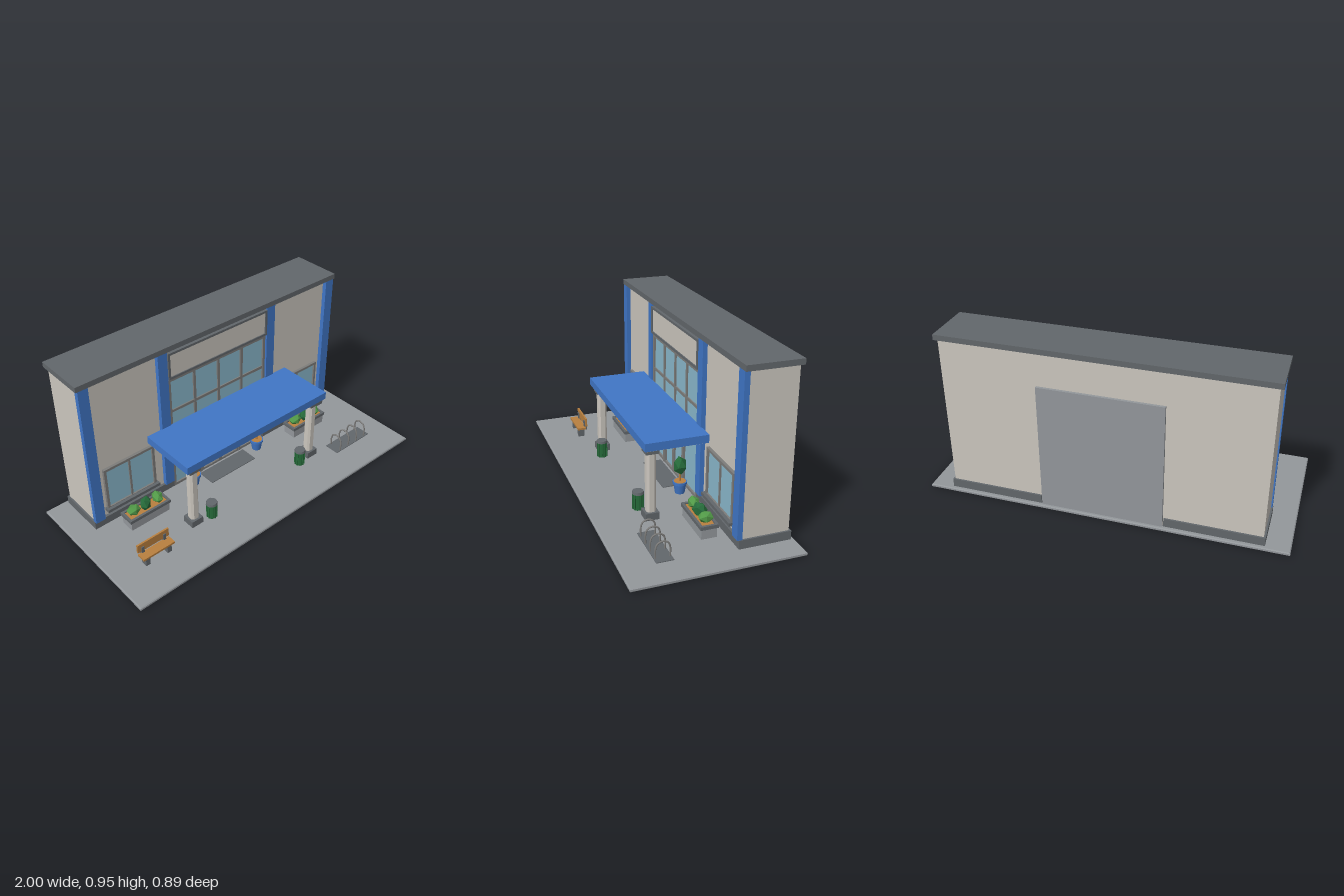
import * as THREE from 'three';

export function createModel() {
  const root = new THREE.Group();
  root.name = 'storefrontBuilding';
  const mat = (name, color) => {
    const m = new THREE.MeshStandardMaterial({ color });
    m.name = name;
    return m;
  };
  const blue = mat('blue', 0x4076c6);
  const plaster = mat('plaster', 0xcbc6be);
  const darkGrey = mat('darkGrey', 0x62676b);
  const concrete = mat('concrete', 0x93979b);
  const frameGrey = mat('frameGrey', 0x7d7c7a);
  const glass = mat('glass', 0x8ab8cc);
  const darkGreen = mat('darkGreen', 0x266b3a);
  const lightGreen = mat('lightGreen', 0x529a48);
  const wood = mat('wood', 0xb9803f);

  const add = (parent, name, geo, material, x = 0, y = 0, z = 0) => {
    const m = new THREE.Mesh(geo, material);
    m.name = name;
    m.position.set(x, y, z);
    parent.add(m);
    return m;
  };
  // Box given by its limits on each axis
  const box = (parent, name, material, x0, x1, y0, y1, z0, z1) =>
    add(parent, name, new THREE.BoxGeometry(x1 - x0, y1 - y0, z1 - z0), material,
      (x0 + x1) / 2, (y0 + y1) / 2, (z0 + z1) / 2);
  const group = (name, x = 0, y = 0, z = 0) => {
    const g = new THREE.Group();
    g.name = name;
    g.position.set(x, y, z);
    root.add(g);
    return g;
  };
  const flat = (geo) => {
    const g = geo.index ? geo.toNonIndexed() : geo;
    g.computeVertexNormals();
    return g;
  };
  // Rectangular frame around an opening
  const frame = (parent, name, material, x0, x1, y0, y1, z0, z1, t) => {
    box(parent, name + 'Left', material, x0, x0 + t, y0, y1, z0, z1);
    box(parent, name + 'Right', material, x1 - t, x1, y0, y1, z0, z1);
    box(parent, name + 'Top', material, x0 + t, x1 - t, y1 - t, y1, z0, z1);
    box(parent, name + 'Bottom', material, x0 + t, x1 - t, y0, y0 + t, z0, z1);
  };

  // Ground slab with softened rim
  const outline = new THREE.Shape();
  outline.moveTo(-0.995, -0.44).lineTo(0.995, -0.44).lineTo(0.995, 0.44).lineTo(-0.995, 0.44).closePath();
  const slab = new THREE.ExtrudeGeometry(outline, {
    depth: 0.01, bevelThickness: 0.005, bevelSize: 0.005, bevelSegments: 1,
  });
  slab.rotateX(-Math.PI / 2);
  add(root, 'groundSlab', slab, concrete, 0, 0.005, 0);

  // Building shell
  const shell = group('buildingShell');
  box(shell, 'walls', plaster, -0.86, 0.86, 0.02, 0.925, -0.415, -0.16);
  box(shell, 'roof', darkGrey, -0.877, 0.877, 0.925, 0.955, -0.43, -0.135);
  box(shell, 'rearPanel', concrete, -0.335, 0.335, 0.02, 0.74, -0.43, -0.41);
  for (const s of [-1, 1]) {
    const a = Math.min(s * 0.34, s * 0.87), b = Math.max(s * 0.34, s * 0.87);
    box(shell, 'plinth', darkGrey, a, b, 0.02, 0.068, -0.425, -0.145);
    for (const x of [0.374, 0.838]) {
      box(shell, 'pilaster', blue, s * x - 0.029, s * x + 0.029, 0.068, 0.925, -0.163, -0.135);
    }
  }

  // Side windows
  for (const s of [-1, 1]) {
    const w = group('sideWindow', s * 0.62);
    box(w, 'windowGlass', glass, -0.155, 0.155, 0.115, 0.375, -0.161, -0.154);
    frame(w, 'windowFrame', frameGrey, -0.16, 0.16, 0.11, 0.382, -0.161, -0.144, 0.015);
    box(w, 'windowMullion', frameGrey, -0.006, 0.006, 0.12, 0.37, -0.161, -0.147);
    box(w, 'windowSill', darkGrey, -0.17, 0.17, 0.104, 0.122, -0.161, -0.126);
  }

  // Central glazed front
  const front = group('entranceGlazing');
  box(front, 'entranceGlass', glass, -0.335, 0.335, 0.02, 0.74, -0.161, -0.154);
  frame(front, 'glazingFrame', frameGrey, -0.342, 0.342, 0.02, 0.75, -0.161, -0.144, 0.016);
  for (const x of [-0.167, 0, 0.167]) {
    box(front, 'glazingMullion', frameGrey, x - 0.008, x + 0.008, 0.345, 0.74, -0.161, -0.146);
  }
  box(front, 'glazingTransom', frameGrey, -0.335, 0.335, 0.533, 0.549, -0.161, -0.147);
  box(front, 'doorHeader', frameGrey, -0.305, 0.305, 0.335, 0.36, -0.161, -0.13);
  box(front, 'doorSensor', darkGrey, -0.027, 0.027, 0.338, 0.354, -0.135, -0.125);
  for (const x of [-0.069, 0.069]) {
    frame(front, 'doorLeaf', frameGrey, x - 0.069, x + 0.069, 0.022, 0.325, -0.161, -0.142, 0.012);
  }
  for (const x of [-0.146, 0.146]) {
    box(front, 'doorJamb', frameGrey, x - 0.008, x + 0.008, 0.02, 0.34, -0.161, -0.14);
  }
  box(front, 'blankPanel', plaster, -0.33, 0.33, 0.765, 0.905, -0.161, -0.137);
  frame(front, 'blankPanelFrame', darkGrey, -0.342, 0.342, 0.757, 0.915, -0.161, -0.131, 0.013);
  box(root, 'doorMat', darkGrey, -0.165, 0.165, 0.019, 0.024, -0.13, -0.02);

  // Canopy and its chamfered columns
  const canopy = group('canopy');
  box(canopy, 'canopyRoof', blue, -0.5, 0.5, 0.422, 0.466, -0.14, 0.2);
  box(canopy, 'canopySoffit', plaster, -0.485, 0.485, 0.414, 0.423, -0.14, 0.185);
  const r = 0.025, c = 0.014;
  const section = new THREE.Shape([[r, -c], [r, c], [c, r], [-c, r], [-r, c], [-r, -c], [-c, -r], [c, -r]]
    .map(([x, y]) => new THREE.Vector2(x, y)));
  for (const s of [-1, 1]) {
    const col = group('canopyColumn', s * 0.437, 0, 0.15);
    const shaft = new THREE.ExtrudeGeometry(section, { depth: 0.335, bevelEnabled: false });
    shaft.rotateX(-Math.PI / 2);
    add(col, 'columnShaft', shaft, plaster, 0, 0.058, 0);
    box(col, 'columnBase', darkGrey, -0.037, 0.037, 0.02, 0.06, -0.037, 0.037);
    box(col, 'columnCap', darkGrey, -0.035, 0.035, 0.39, 0.415, -0.035, 0.035);
  }

  // Planters with faceted bushes
  for (const s of [-1, 1]) {
    const p = group('planter', s * 0.604, 0, -0.052);
    box(p, 'planterBox', concrete, -0.125, 0.125, 0.02, 0.078, -0.042, 0.042);
    box(p, 'planterSoil', wood, -0.12, 0.12, 0.076, 0.086, -0.037, 0.037);
    for (const k of [-1, 1]) {
      box(p, 'planterRimLong', darkGrey, -0.132, 0.132, 0.074, 0.093, k * 0.041 - 0.007, k * 0.041 + 0.007);
      box(p, 'planterRimEnd', darkGrey, k * 0.125 - 0.007, k * 0.125 + 0.007, 0.074, 0.093, -0.036, 0.036);
    }
    [-0.078, 0, 0.078].forEach((x, i) => {
      const bush = add(p, 'bush', flat(new THREE.IcosahedronGeometry(0.038, 0)),
        i === 1 ? darkGreen : lightGreen, x, 0.115, 0);
      bush.scale.set(1.12, i === 1 ? 1.08 : 0.85, 0.85);
      bush.rotation.y = i * 0.7;
    });
  }

  // Potted topiary trees
  for (const s of [-1, 1]) {
    const t = group('topiary', s * 0.24, 0, -0.09);
    add(t, 'pot', new THREE.CylinderGeometry(0.036, 0.027, 0.058, 12), blue, 0, 0.049, 0);
    add(t, 'potRim', new THREE.CylinderGeometry(0.04, 0.04, 0.014, 12), blue, 0, 0.082, 0);
    add(t, 'potSoil', new THREE.CylinderGeometry(0.034, 0.034, 0.004, 12), wood, 0, 0.089, 0);
    add(t, 'trunk', new THREE.CylinderGeometry(0.005, 0.006, 0.06, 8), wood, 0, 0.115, 0);
    const crown = add(t, 'crown', flat(new THREE.IcosahedronGeometry(0.042, 0)), darkGreen, 0, 0.182, 0);
    crown.scale.set(0.95, 1.28, 0.95);
  }

  // Litter bins with ribs
  for (const s of [-1, 1]) {
    const b = group('litterBin', s * 0.335, 0, 0.182);
    add(b, 'binBody', new THREE.CylinderGeometry(0.028, 0.025, 0.095, 12), darkGreen, 0, 0.0675, 0);
    for (let i = 0; i < 10; i++) {
      const a = i * Math.PI / 5;
      const rib = box(b, 'binRib', darkGreen, -0.004, 0.004, 0.024, 0.11, -0.003, 0.003);
      rib.position.x = Math.sin(a) * 0.028;
      rib.position.z = Math.cos(a) * 0.028;
      rib.rotation.y = a;
    }
    add(b, 'binLid', new THREE.CylinderGeometry(0.03, 0.033, 0.014, 12), darkGrey, 0, 0.119, 0);
  }

  // Bench
  const bench = group('bench', -0.737);
  box(bench, 'benchSeat', wood, -0.098, 0.098, 0.07, 0.082, 0.198, 0.25);
  box(bench, 'benchBack', wood, -0.098, 0.098, 0.09, 0.14, 0.19, 0.2);
  for (const x of [-0.068, 0.068]) {
    box(bench, 'benchLeg', darkGrey, x - 0.013, x + 0.013, 0.02, 0.071, 0.205, 0.243);
    box(bench, 'benchBackSupport', darkGrey, x - 0.008, x + 0.008, 0.06, 0.12, 0.186, 0.206);
  }

  // Bicycle rack
  const rack = group('bikeRack', 0.71, 0, 0.222);
  box(rack, 'rackPlate', darkGrey, -0.14, 0.14, 0.019, 0.024, -0.045, 0.045);
  const hoop = new THREE.CatmullRomCurve3([[0.02, -0.037], [0.075, -0.037], [0.1, -0.027], [0.111, 0],
    [0.1, 0.027], [0.075, 0.037], [0.02, 0.037]].map(([y, z]) => new THREE.Vector3(0, y, z)));
  for (let i = 0; i < 4; i++) {
    add(rack, 'rackHoop', new THREE.TubeGeometry(hoop, 24, 0.0045, 8), frameGrey, -0.105 + i * 0.07, 0, 0);
  }

  return root;
}
